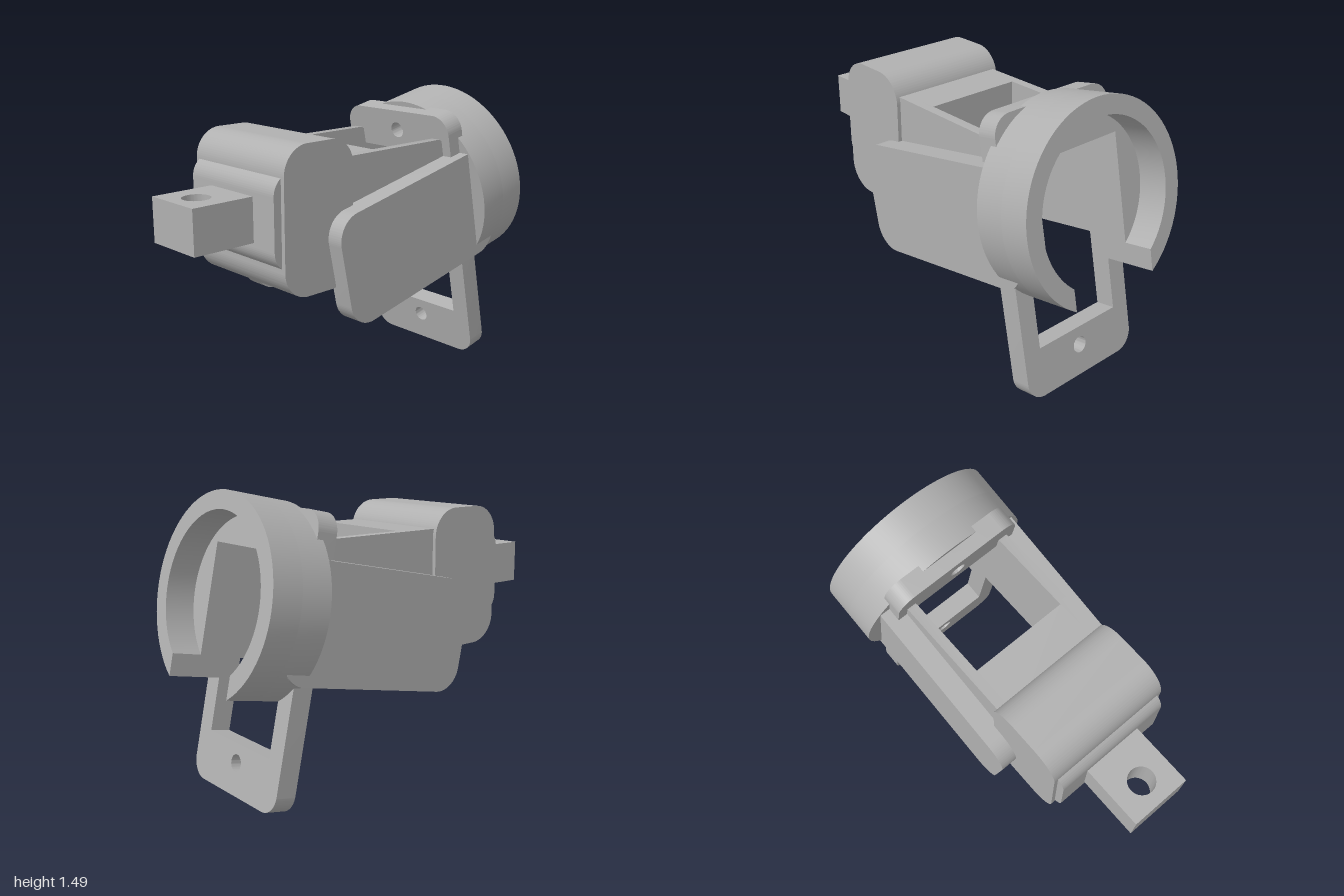
import * as THREE from 'three';
import { toCreasedNormals } from 'three/addons/utils/BufferGeometryUtils.js';

const TILT = THREE.MathUtils.degToRad(12);

function roundedRect(x0, y0, x1, y1, r) {
  const s = new THREE.Shape();
  s.moveTo(x0 + r, y0);
  s.lineTo(x1 - r, y0);
  s.absarc(x1 - r, y0 + r, r, -Math.PI / 2, 0);
  s.lineTo(x1, y1 - r);
  s.absarc(x1 - r, y1 - r, r, 0, Math.PI / 2);
  s.lineTo(x0 + r, y1);
  s.absarc(x0 + r, y1 - r, r, Math.PI / 2, Math.PI);
  s.lineTo(x0, y0 + r);
  s.absarc(x0 + r, y0 + r, r, Math.PI, Math.PI * 1.5);
  return s;
}

const polygon = (pts) => new THREE.Shape(pts.map(([x, y]) => new THREE.Vector2(x, y)));
const circle = (x, y, r) => new THREE.Path().absarc(x, y, r, 0, Math.PI * 2, true);

// Extrudes a shape from z = from to z = to
function prism(shape, from, to) {
  const geo = new THREE.ExtrudeGeometry(shape, { depth: to - from, bevelEnabled: false, curveSegments: 32 });
  geo.translate(0, 0, from);
  return toCreasedNormals(geo, 0.6);
}

export function createModel() {
  const model = new THREE.Group();
  const grey = new THREE.MeshStandardMaterial({ color: 0xb0b0b0 });
  grey.name = 'plain grey';

  function add(parent, name, geo) {
    const mesh = new THREE.Mesh(geo, grey);
    mesh.name = name;
    parent.add(mesh);
    return mesh;
  }

  // Mounting stem with a vertical hole
  const stem = polygon([[-1, -0.158], [-0.63, -0.158], [-0.63, 0.158], [-1, 0.158]]);
  stem.holes.push(circle(-0.868, 0, 0.068));
  add(model, 'mountingStem', prism(stem, 0.9, 1.12).rotateX(-Math.PI / 2));

  // Rounded rear housing
  add(model, 'backPlate', prism(roundedRect(-0.67, 0.78, -0.4, 1.24, 0.1), -0.308, 0.308));
  add(model, 'rearBlock', prism(roundedRect(-0.628, 0.64, -0.2, 1.365, 0.14), -0.33, 0.33));

  // Hollow body: stepped rear wall and two side walls reaching the tilted plate
  add(model, 'bodyRearWall', prism(polygon([
    [-0.3, 0.64], [-0.07, 0.64], [-0.07, 0.965], [0, 0.98], [0, 1.265], [-0.3, 1.265],
  ]), -0.262, 0.262));
  for (const side of [-1, 1]) {
    const wall = polygon([[-0.3, 0.64], [0.6, 0.64], [0.47, 1.25], [0.44, 1.265], [-0.3, 1.265]]);
    const [a, b] = side > 0 ? [0.26, 0.31] : [-0.31, -0.26];
    add(model, side > 0 ? 'leftBodyWall' : 'rightBodyWall', prism(wall, a, b));
  }

  // Tilted front assembly; local x runs along the ring axis
  const front = new THREE.Group();
  front.name = 'tiltedFront';
  front.rotation.z = TILT;
  model.add(front);

  for (const side of [-1, 1]) {
    const [a, b] = side > 0 ? [0.308, 0.417] : [-0.417, -0.308];
    add(front, side > 0 ? 'leftArm' : 'rightArm', prism(roundedRect(-0.17, 0.471, 0.93, 1.05, 0.13), a, b));
  }

  const W = 0.26, TOP = 1.047, C = 0.795, R = 0.496, RI = 0.405;
  const along = (shape, from, to) => prism(shape, from, to).rotateY(Math.PI / 2);

  // Long mounting plate with window and two screw holes
  const plate = roundedRect(-0.362, -0.151, 0.362, 1.264, 0.1);
  plate.holes.push(
    new THREE.Path([[-W, 0.102], [-W, TOP], [W, TOP], [W, 0.102]].map(([x, y]) => new THREE.Vector2(x, y))),
    circle(0, 0.007, 0.042),
    circle(0, 1.155, 0.042),
  );
  add(front, 'mountingPlate', along(plate, 0.71, 0.817));

  // Ring floor, notched by the window
  const start = (r) => -Math.acos(W / r);
  const end = (r) => Math.PI + Math.acos(W / r);
  const floor = new THREE.Shape();
  floor.absarc(0, C, R, start(R), end(R), false);
  floor.lineTo(-W, TOP);
  floor.lineTo(W, TOP);
  add(front, 'ringFloor', along(floor, 0.782, 0.942));

  // Ring wall, open at the bottom
  const rim = new THREE.Shape();
  rim.absarc(0, C, R, start(R), end(R), false);
  rim.absarc(0, C, RI, end(RI), start(RI), true);
  add(front, 'ringWall', along(rim, 0.942, 1.097));

  return model;
}
